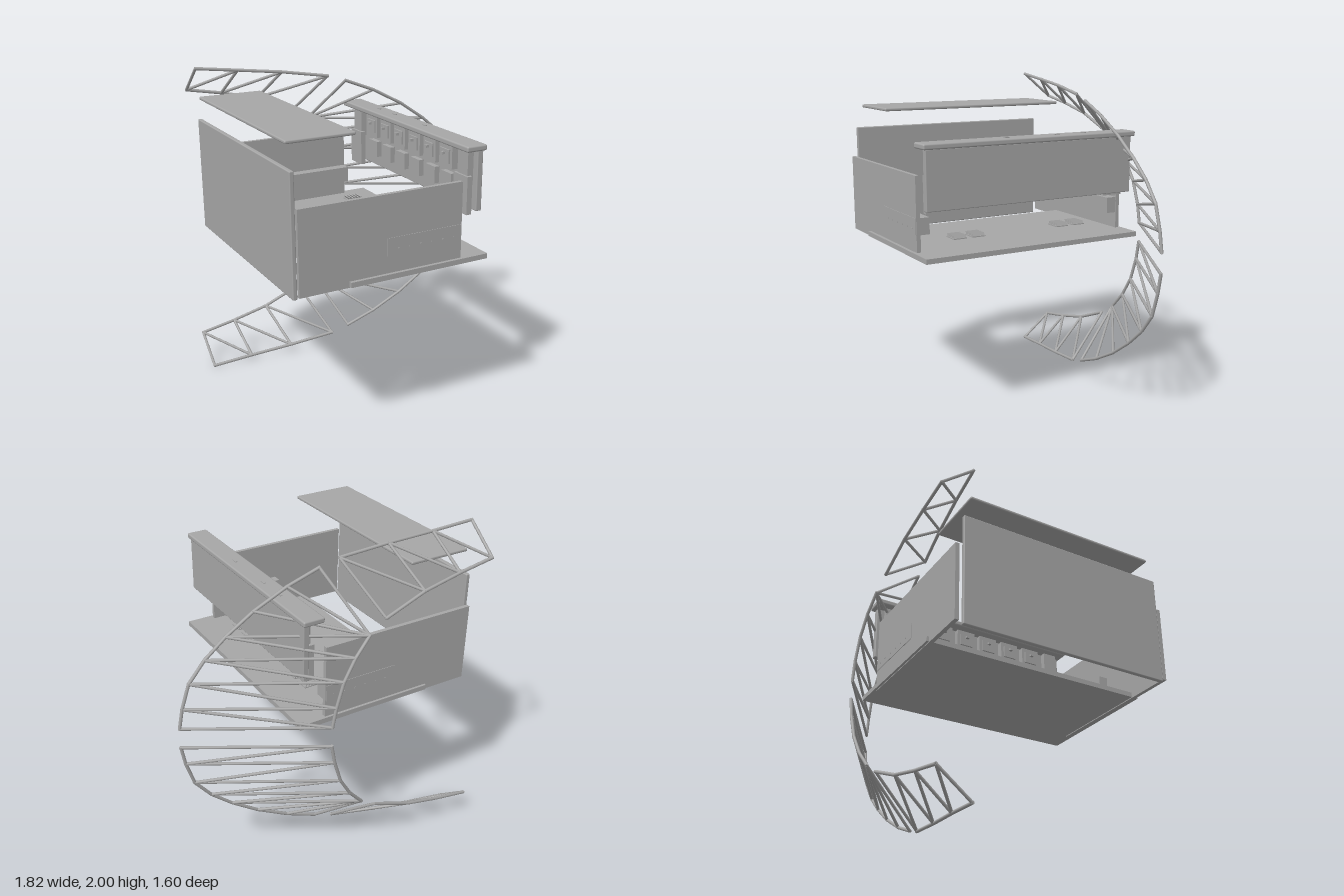
import * as THREE from 'three';
import { RoundedBoxGeometry } from 'three/addons/geometries/RoundedBoxGeometry.js';

const grey = new THREE.MeshStandardMaterial({ color: 0xa6a6a6 });
grey.name = 'grey';

// Box given by its min and max on each axis; r rounds the edges
function slab(parent, name, [x0, x1], [y0, y1], [z0, z1], r = 0) {
  const size = [x1 - x0, y1 - y0, z1 - z0];
  const geo = r ? new RoundedBoxGeometry(...size, 2, r) : new THREE.BoxGeometry(...size);
  const mesh = new THREE.Mesh(geo, grey);
  mesh.name = name;
  mesh.position.set((x0 + x1) / 2, (y0 + y1) / 2, (z0 + z1) / 2);
  parent.add(mesh);
  return mesh;
}

function bar(parent, name, a, b, r) {
  const dir = b.clone().sub(a);
  const mesh = new THREE.Mesh(new THREE.CylinderGeometry(r, r, dir.length() + r, 8), grey);
  mesh.name = name;
  mesh.position.copy(a).add(b).multiplyScalar(0.5);
  mesh.quaternion.setFromUnitVectors(new THREE.Vector3(0, 1, 0), dir.normalize());
  parent.add(mesh);
}

// Flat lattice: two chords joined by the listed [inner, outer] struts
function truss(name, inner, outer, struts, flip) {
  const g = new THREE.Group();
  g.name = name;
  const toVec = ([x, y, z]) => new THREE.Vector3(x, flip ? 2.005 - y : y, z);
  const a = inner.map(toVec), b = outer.map(toVec);
  for (const chord of [a, b])
    for (let i = 1; i < chord.length; i++) bar(g, 'trussChord', chord[i - 1], chord[i], 0.01);
  for (const [i, j] of struts) bar(g, 'trussStrut', a[i], b[j], 0.009);
  return g;
}

export function createModel() {
  const model = new THREE.Group();
  model.name = 'explodedCabinet';

  // Case panels
  slab(model, 'floorPanel', [-0.58, 0.295], [1.015, 1.045], [-0.665, 0.795]);
  slab(model, 'tallEndWall', [-0.888, -0.862], [0.985, 1.677], [-0.607, 0.735], 0.006);
  slab(model, 'lid', [-0.887, -0.488], [1.803, 1.823], [-0.565, 0.69], 0.008);
  slab(model, 'frontSideWall', [-0.87, 0.125], [1.01, 1.49], [0.75, 0.775]);
  slab(model, 'backSideWall', [-0.87, 0.125], [1.01, 1.49], [-0.65, -0.625]);

  // Boxes let into the side walls, with a row of small pins
  for (const [z0, z1, face] of [[0.69, 0.778, 0.778], [-0.653, -0.56, -0.653]]) {
    slab(model, 'wallBox', [-0.35, 0.12], [1.145, 1.245], [z0, z1]);
    for (let i = 0; i < 6; i++) {
      const x = -0.28 + i * 0.07;
      slab(model, 'wallPin', [x - 0.004, x + 0.004], [1.176, 1.184], [face - 0.003, face + 0.003]);
    }
  }

  // Fascia with its cap
  const fascia = new THREE.Group();
  fascia.name = 'fascia';
  model.add(fascia);
  slab(fascia, 'fasciaCap', [0.14, 0.272], [1.648, 1.682], [-0.655, 0.787], 0.01);
  slab(fascia, 'fasciaPanel', [0.222, 0.258], [1.3, 1.65], [-0.63, 0.77], 0.005);
  for (const z of [-0.3, -0.11, 0.235])
    slab(fascia, 'capButton', [0.209, 0.221], [1.678, 1.686], [z - 0.018, z + 0.018]);

  // Equipment on the inner side of the fascia
  for (const z of [0.615, -0.6]) {
    slab(fascia, 'hangingBracket', [0.172, 0.205], [1.28, 1.5], [z, z + 0.135]);
    slab(fascia, 'bracketArm', [0.185, 0.224], [1.47, 1.65], [z + 0.02, z + 0.115]);
  }
  for (let i = 0; i < 6; i++) {
    const z = -0.4 + i * 0.17;
    slab(fascia, 'module', [0.182, 0.224], [1.5, 1.64], [z, z + 0.13]);
    slab(fascia, 'moduleFrame', [0.172, 0.184], [1.53, 1.61], [z + 0.02, z + 0.11]);
    slab(fascia, 'moduleKnob', [0.152, 0.174], [1.58, 1.595], [z + 0.055, z + 0.075]);
    slab(fascia, 'lowerModule', [0.19, 0.224], [1.37, 1.47], [z + 0.015, z + 0.115]);
  }

  // Slatted pads above the floor
  for (const z of [-0.395, -0.275, 0.318, 0.441]) {
    const pad = new THREE.Group();
    pad.name = 'slattedPad';
    slab(pad, 'padBase', [0, 0.1], [1.088, 1.094], [z, z + 0.085]);
    for (let i = 0; i < 5; i++) {
      const x = 0.01 + i * 0.02;
      slab(pad, 'padSlat', [x - 0.003, x + 0.003], [1.09, 1.112], [z + 0.003, z + 0.082]).rotation.z = 0.5;
    }
    model.add(pad);
  }

  // Curved lattices, mirrored below and above
  const bigInner = [[0.165, 0.94, -0.79], [0.142, 0.82, -0.79], [0.095, 0.672, -0.785],
    [0.02, 0.547, -0.777], [-0.075, 0.44, -0.765]];
  const bigOuter = [[0.897, 0.94, -0.378], [0.875, 0.82, -0.378], [0.828, 0.672, -0.38],
    [0.73, 0.55, -0.384], [0.602, 0.44, -0.39], [0.435, 0.325, -0.4],
    [0.235, 0.22, -0.415], [0.042, 0.145, -0.432]];
  const bigStruts = [[0, 0], [0, 1], [1, 1], [1, 2], [2, 2], [2, 3], [3, 3], [3, 4],
    [4, 4], [4, 5], [4, 6], [4, 7]];
  const smallInner = [[-0.9, 0.172, -0.757], [-0.675, 0.212, -0.757], [-0.437, 0.267, -0.757],
    [-0.185, 0.368, -0.757]];
  const smallOuter = [[-0.9, 0.012, -0.557], [-0.645, 0.038, -0.53], [-0.37, 0.066, -0.492],
    [-0.078, 0.108, -0.445]];
  const smallStruts = [[0, 0], [0, 1], [1, 1], [1, 2], [2, 2], [2, 3], [3, 3]];
  for (const flip of [false, true]) {
    const where = flip ? 'upper' : 'lower';
    model.add(truss(where + 'CurvedTruss', bigInner, bigOuter, bigStruts, flip));
    model.add(truss(where + 'EndTruss', smallInner, smallOuter, smallStruts, flip));
  }
  return model;
}
